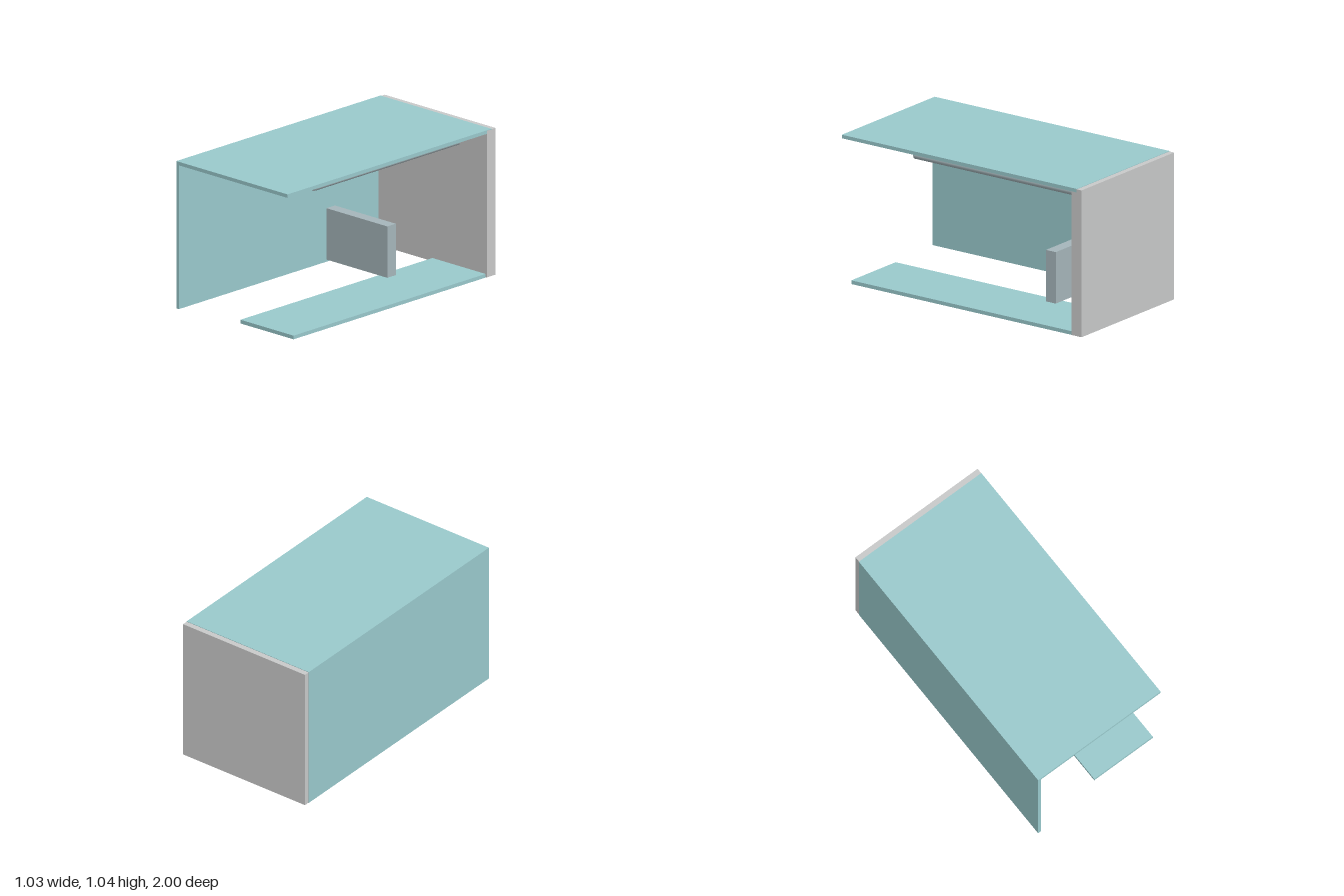
import * as THREE from 'three';

const mat = (name, color) => {
  const m = new THREE.MeshStandardMaterial({ color });
  m.name = name;
  return m;
};

export function createModel() {
  const group = new THREE.Group();
  const teal = mat('paleTeal', 0x99c9cc);
  const grey = mat('lightGrey', 0xc8c9c9);
  const blueGrey = mat('blueGrey', 0xa5b5ba);

  const add = (name, geometry, material) => {
    const mesh = new THREE.Mesh(geometry, material);
    mesh.name = name;
    group.add(mesh);
    return mesh;
  };

  // Box given by its limits on each axis
  const slab = (name, [x0, x1], [y0, y1], [z0, z1], material) =>
    add(name, new THREE.BoxGeometry(x1 - x0, y1 - y0, z1 - z0), material)
      .position.set((x0 + x1) / 2, (y0 + y1) / 2, (z0 + z1) / 2);

  // Roof and side wall: one L-shaped sheet, overlapping the back panel
  const T = 0.025, L = -0.517, R = 0.515, B = 0.003, H = 1.037;
  const profile = new THREE.Shape([
    [L, B], [L + T, B], [L + T, H - T], [R, H - T], [R, H], [L, H],
  ].map(([x, y]) => new THREE.Vector2(x, y)));
  add('roofAndSideWall', new THREE.ExtrudeGeometry(profile, { depth: 1.96, bevelEnabled: false }), teal)
    .position.z = -0.96;

  // Thick back panel
  slab('backPanel', [-0.515, 0.515], [0.004, 1.034], [-1, -0.915], grey);

  // Half-width floor strip
  slab('floorStrip', [0.01, 0.503], [0, 0.026], [-0.945, 0.93], teal);

  // Low upright partition
  slab('partition', [-0.467, 0.098], [0.03, 0.391], [-0.472, -0.39], blueGrey);

  // Round rail under the roof
  const rail = add('rail', new THREE.CylinderGeometry(0.026, 0.026, 1.385, 40), blueGrey);
  rail.rotation.x = Math.PI / 2;
  rail.position.set(0.309, 0.932, -0.153);

  return group;
}
